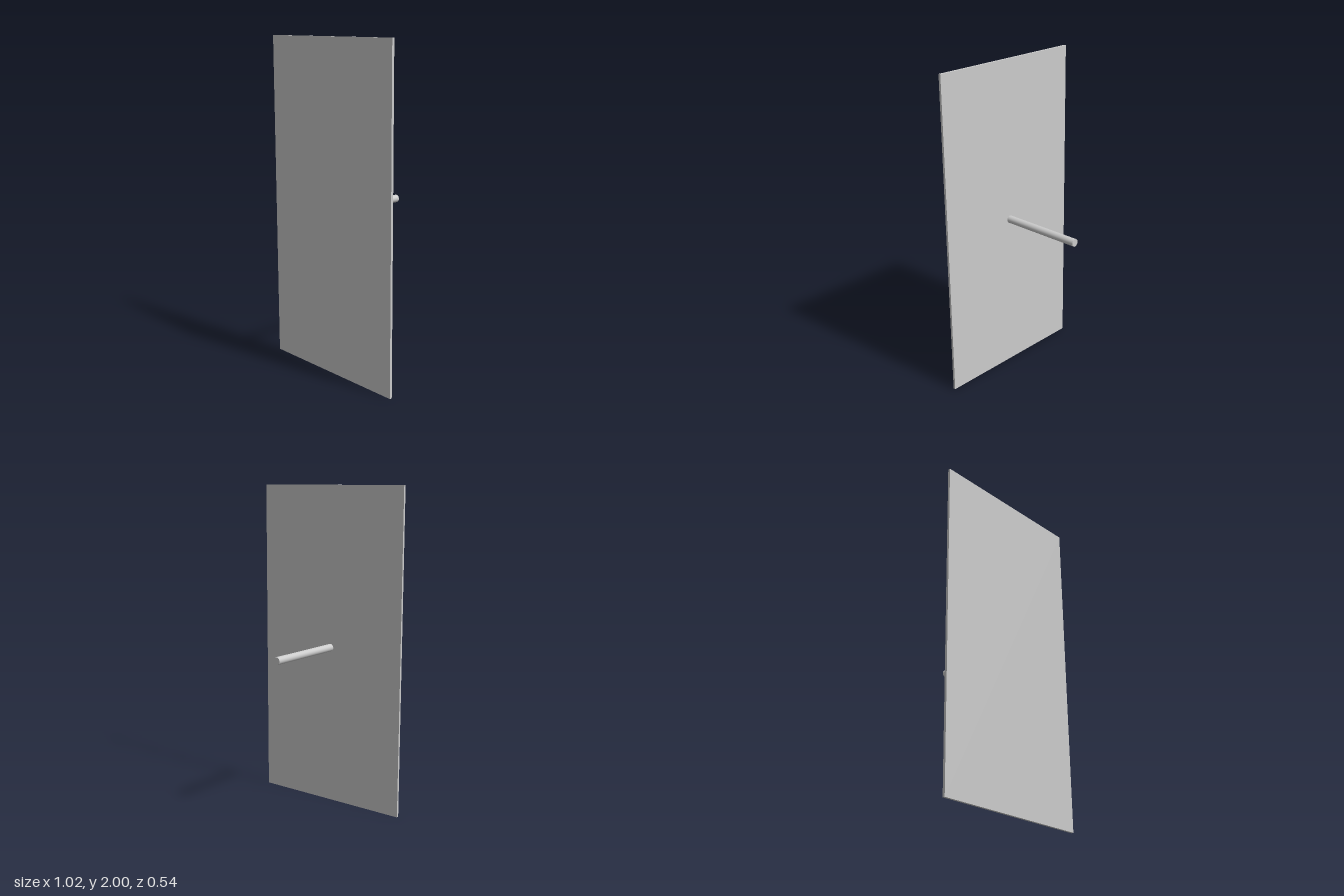
import * as THREE from 'three';

export function createModel() {
  const group = new THREE.Group();
  const material = new THREE.MeshStandardMaterial({ color: 0xcccccc });

  const halfDepth = 0.272;
  const thickness = 0.015;
  const rodLength = 2 * halfDepth - thickness;

  // Thin upright board at the front
  const panel = new THREE.Mesh(new THREE.BoxGeometry(1.025, 2, thickness), material);
  panel.name = 'panel';
  panel.position.set(0, 1, halfDepth - thickness / 2);
  group.add(panel);

  // Round handle standing straight out of the middle of the back
  const handle = new THREE.Mesh(new THREE.CylinderGeometry(0.0235, 0.0235, rodLength, 32), material);
  handle.name = 'handle';
  handle.rotation.x = Math.PI / 2;
  handle.position.set(0, 1, -halfDepth + rodLength / 2);
  group.add(handle);

  return group;
}
